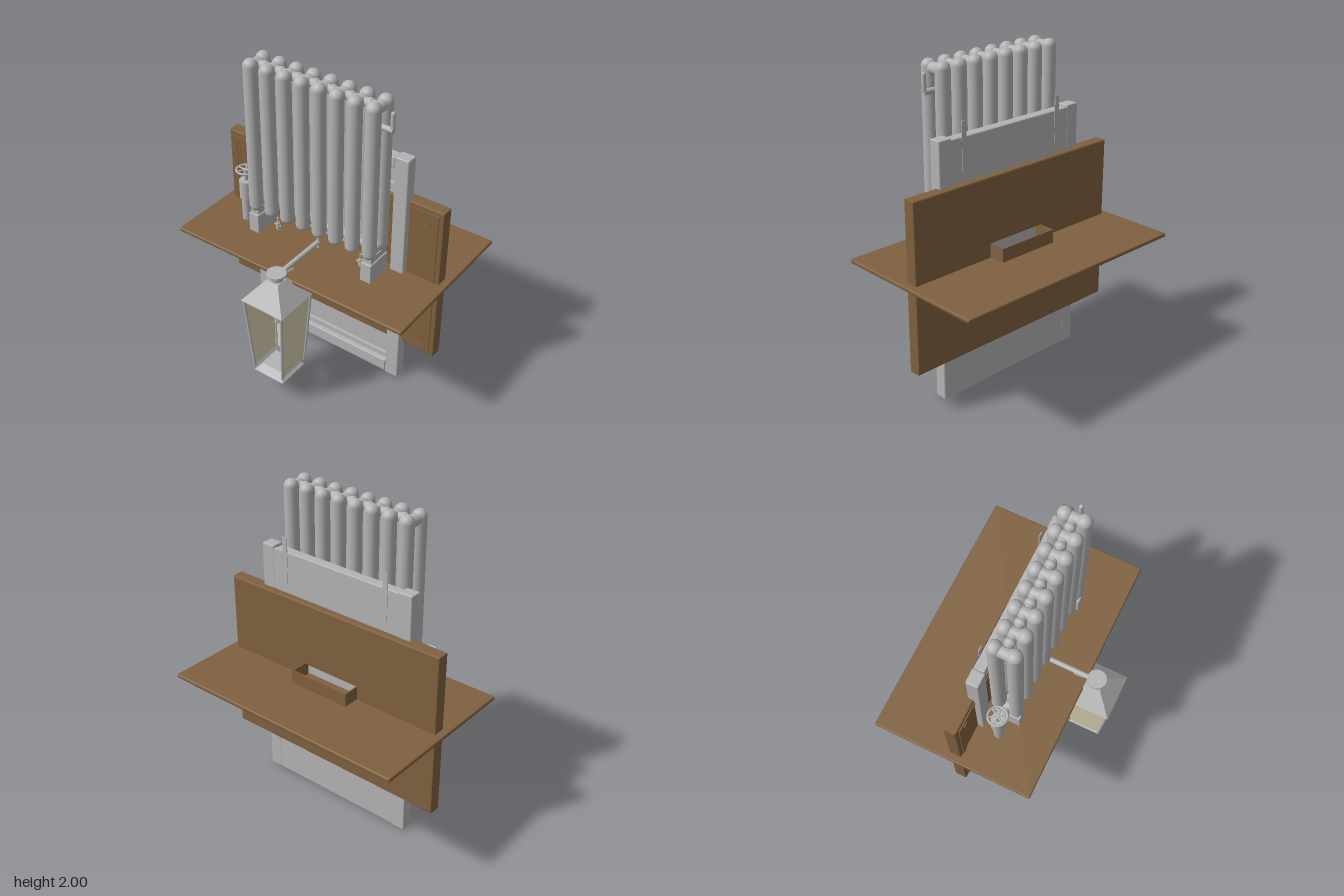
import * as THREE from 'three';
import { RoundedBoxGeometry } from 'three/addons/geometries/RoundedBoxGeometry.js';

const material = (name, color, side = THREE.FrontSide) => {
  const m = new THREE.MeshStandardMaterial({ color, side });
  m.name = name;
  return m;
};

export function createModel() {
  const grey = material('grey metal', 0xb4b4b4, THREE.DoubleSide);
  const wood = material('brown wood', 0x80613f);
  const cream = material('cream glass', 0xd8ceb0, THREE.DoubleSide);
  const root = new THREE.Group();
  root.name = 'heatingAndLampSet';

  const group = (name) => {
    const g = new THREE.Group();
    g.name = name;
    root.add(g);
    return g;
  };
  const add = (parent, name, geometry, mat, x = 0, y = 0, z = 0) => {
    const m = new THREE.Mesh(geometry, mat);
    m.name = name;
    m.position.set(x, y, z);
    parent.add(m);
    return m;
  };
  // Box given by its limits on each axis
  const box = (parent, name, mat, [x0, x1], [y0, y1], [z0, z1], bevel = 0) => {
    const s = [x1 - x0, y1 - y0, z1 - z0];
    const geo = bevel ? new RoundedBoxGeometry(...s, 2, bevel) : new THREE.BoxGeometry(...s);
    return add(parent, name, geo, mat, (x0 + x1) / 2, (y0 + y1) / 2, (z0 + z1) / 2);
  };
  // Straight rod between two points
  const rod = (parent, name, a, b, r, mat = grey) => {
    const p = new THREE.Vector3(...a), q = new THREE.Vector3(...b);
    const m = add(parent, name, new THREE.CylinderGeometry(r, r, p.distanceTo(q), 20), mat);
    m.position.copy(p).lerp(q, 0.5);
    m.quaternion.setFromUnitVectors(new THREE.Vector3(0, 1, 0), q.sub(p).normalize());
    return m;
  };
  const tube = (parent, name, points, r) => add(parent, name, new THREE.TubeGeometry(
    new THREE.CatmullRomCurve3(points.map((p) => new THREE.Vector3(...p))), 20, r, 10), grey);
  const rectangle = (S, x, y0, y1) => {
    const s = new S();
    s.moveTo(-x, y0);
    s.lineTo(x, y0);
    s.lineTo(x, y1);
    s.lineTo(-x, y1);
    s.closePath();
    return s;
  };
  // Upright plate with a rectangular hole
  const frame = (parent, name, outer, hole, z, depth, bevel) => {
    const s = rectangle(THREE.Shape, ...outer);
    s.holes.push(rectangle(THREE.Path, ...hole));
    add(parent, name, new THREE.ExtrudeGeometry(s, {
      depth, bevelEnabled: bevel > 0, bevelSize: bevel, bevelThickness: bevel, bevelSegments: 2,
    }), wood, 0, 0, z);
  };
  // Square section tapering from half width b at y0 to half width t at y1
  const taper = (parent, name, b, t, y0, y1, z) => {
    const g = new THREE.CylinderGeometry(t * Math.SQRT2, b * Math.SQRT2, y1 - y0, 4).toNonIndexed();
    g.rotateY(Math.PI / 4);
    g.computeVertexNormals();
    return add(parent, name, g, grey, 0, (y0 + y1) / 2, z);
  };

  // Radiator: eight pairs of round columns with linking hubs
  const radiator = group('radiator');
  const rows = [0.021, 0.134], zMid = 0.077;
  for (let i = 0; i < 8; i++) {
    const x = -0.41 + i * 0.1171;
    for (const z of rows) {
      add(radiator, 'column', new THREE.CapsuleGeometry(0.043, 0.925, 8, 24), grey, x, 1.495, z);
    }
    for (const y of [1.04, 1.95]) {
      rod(radiator, 'columnLink', [x, y, rows[0]], [x, y, rows[1]], 0.035);
      if (i < 7) {
        const hub = add(radiator, 'hub', new THREE.SphereGeometry(0.032, 20, 14), grey, x + 0.0585, y, zMid);
        hub.scale.x = 0.85;
        rod(radiator, 'hubPipe', [x, y, zMid], [x + 0.117, y, zMid], 0.026);
      }
    }
  }
  for (const s of [-1, 1]) {
    const x = s * 0.41;
    box(radiator, 'foot', grey, [x - 0.036, x + 0.036], [0.84, 0.97], [-0.005, 0.168], 0.004);
    box(radiator, 'saddle', grey, [x - 0.028, x + 0.028], [0.96, 1.01], [0.0, 0.155]);
  }
  // Air bleed on the left end
  rod(radiator, 'bleedPipe', [0.42, 1.835, zMid], [0.5, 1.835, zMid], 0.017);
  add(radiator, 'bleedKey', new THREE.CapsuleGeometry(0.013, 0.09, 6, 16), grey, 0.493, 1.888, zMid);

  // Valve with hand wheel
  const valve = group('valve');
  rod(valve, 'supplyPipe', [-0.54, 0.84, zMid], [-0.54, 1.0, zMid], 0.029);
  rod(valve, 'valveBody', [-0.535, 1.0, zMid], [-0.535, 1.125, zMid], 0.043);
  rod(valve, 'valveStem', [-0.535, 1.12, zMid], [-0.535, 1.2, zMid], 0.013);
  rod(valve, 'inlet', [-0.535, 1.045, zMid], [-0.41, 1.045, zMid], 0.025);
  add(valve, 'inletNut', new THREE.SphereGeometry(0.035, 20, 14), grey, -0.475, 1.045, zMid);
  add(valve, 'handWheel', new THREE.TorusGeometry(0.056, 0.007, 10, 32), grey, -0.535, 1.197, zMid).rotation.x = Math.PI / 2;
  for (let i = 0; i < 3; i++) {
    const a = i * Math.PI / 3, c = 0.056 * Math.cos(a), d = 0.056 * Math.sin(a);
    rod(valve, 'spoke', [-0.535 - c, 1.197, zMid - d], [-0.535 + c, 1.197, zMid + d], 0.005);
  }

  // Metal backing with posts and rails
  const backing = group('backing');
  box(backing, 'sheet', grey, [-0.46, 0.46], [0.015, 1.595], [-0.095, -0.075]);
  for (const s of [-1, 1]) {
    const x = s * 0.5;
    box(backing, 'post', grey, [x - 0.045, x + 0.045], [0.005, 1.61], [-0.097, -0.02], 0.008);
    box(backing, 'hangingTab', grey, [s * 0.365 - 0.016, s * 0.365 + 0.016], [1.4, 1.69], [-0.098, -0.093]);
  }
  box(backing, 'bottomRail', grey, [-0.45, 0.45], [0.008, 0.092], [-0.09, -0.025], 0.006);
  box(backing, 'bottomLedge', grey, [-0.455, 0.455], [0.09, 0.125], [-0.08, -0.055]);
  box(backing, 'topRail', grey, [-0.45, 0.45], [1.53, 1.598], [-0.09, -0.03], 0.006);
  box(backing, 'upperLedge', grey, [-0.455, 0.455], [1.36, 1.41], [-0.08, -0.055]);

  // Wooden wall panel with mouldings and a niche
  const panel = group('wallPanel');
  frame(panel, 'board', [0.757, 0.288, 1.327], [0.213, 0.772, 0.933], -0.129, 0.062, 0.008);
  frame(panel, 'outerMoulding', [0.735, 0.31, 1.305], [0.705, 0.34, 1.275], -0.062, 0.01, 0);
  frame(panel, 'innerMoulding', [0.705, 0.34, 1.275], [0.685, 0.36, 1.255], -0.062, 0.006, 0);
  for (const s of [-1, 1]) {
    for (const y of [0.39, 1.228]) rod(panel, 'cornerButton', [s * 0.66, y, -0.07], [s * 0.66, y, -0.052], 0.023, wood);
    add(panel, 'stud', new THREE.OctahedronGeometry(0.013), grey, s * 0.27, 0.455, -0.055);
    box(panel, 'traySide', wood, [s * 0.202 - 0.004, s * 0.202 + 0.004], [0.825, 0.925], [-0.235, -0.1]);
  }
  box(panel, 'trayBack', wood, [-0.206, 0.206], [0.825, 0.925], [-0.238, -0.23]);

  // Wooden shelf
  box(group('shelf'), 'shelfBoard', wood, [-0.81, 0.81], [0.814, 0.84], [-0.615, 0.408], 0.009);

  // Small taps standing through the shelf
  const taps = group('taps');
  for (const s of [-1, 1]) {
    const x = s * 0.305;
    rod(taps, 'tapStem', [x, 0.765, 0.065], [x, 0.93, 0.065], 0.006);
    rod(taps, 'tapBody', [x, 0.85, 0.065], [x, 0.895, 0.065], 0.013);
    rod(taps, 'tapHandle', [x - 0.024, 0.875, 0.065], [x + 0.024, 0.875, 0.065], 0.006);
    tube(taps, 'tapSpout', [[x, 0.81, 0.065], [x - s * 0.01, 0.79, 0.09], [x - s * 0.02, 0.77, 0.1]], 0.008);
  }

  // Lantern, open at the front
  const lantern = group('lantern'), lz = 0.465;
  rod(lantern, 'cap', [0, 0.893, lz], [0, 0.907, lz], 0.06);
  rod(lantern, 'neck', [0, 0.845, lz], [0, 0.9, lz], 0.039);
  taper(lantern, 'roof', 0.15, 0.042, 0.728, 0.86, lz);
  taper(lantern, 'base', 0.108, 0.068, 0.17, 0.21, lz);
  add(lantern, 'finial', new THREE.SphereGeometry(0.019, 20, 14), grey, 0, 0.14, lz);
  const top = 0.138, bottom = 0.106;
  for (let i = 0; i < 4; i++) {
    const side = new THREE.Group();
    side.name = 'lanternSide';
    side.position.z = lz;
    side.rotation.y = i * Math.PI / 2;
    lantern.add(side);
    rod(side, 'cornerBar', [bottom, 0.21, bottom], [top, 0.73, top], 0.009);
    if (i === 0) continue;
    const pane = new THREE.PlaneGeometry(2, 0.52);
    const p = pane.attributes.position;
    for (let k = 0; k < p.count; k++) {
      const w = p.getY(k) > 0 ? top : bottom;
      p.setXYZ(k, p.getX(k) * w, p.getY(k) + 0.47, w);
    }
    pane.computeVertexNormals();
    add(side, 'glassPane', pane, cream);
  }
  rod(lantern, 'burner', [0, 0.54, lz], [0, 0.585, lz], 0.021);
  rod(lantern, 'burnerRod', [0, 0.58, lz], [0, 0.74, lz], 0.006);
  rod(lantern, 'burnerPlate', [0, 0.686, lz], [0, 0.693, lz], 0.03);

  // Arm carrying the lantern, with braces and a hanging jet
  const arm = group('lanternArm');
  rod(arm, 'armPipe', [0, 0.882, 0.06], [0, 0.882, 0.44], 0.016);
  rod(arm, 'armPost', [0, 0.84, 0.06], [0, 0.925, 0.06], 0.012);
  tube(arm, 'brace', [[0, 0.86, 0.41], [0, 0.82, 0.27], [0, 0.78, 0.13], [0, 0.72, -0.02]], 0.01);
  tube(arm, 'jetPipe', [[0, 0.69, 0.265], [0, 0.76, 0.25], [0, 0.785, 0.17], [0, 0.78, 0.03]], 0.008);
  rod(arm, 'jet', [0, 0.622, 0.265], [0, 0.69, 0.265], 0.02);
  rod(arm, 'jetPlate', [0, 0.687, 0.265], [0, 0.693, 0.265], 0.07);

  // Domed shade below the shelf
  const shade = add(group('shade'), 'dome', new THREE.SphereGeometry(0.12, 32, 14, 0, Math.PI * 2, 0, Math.PI / 2), cream, 0, 0.645, -0.1);
  shade.scale.y = 1.4;

  return root;
}
